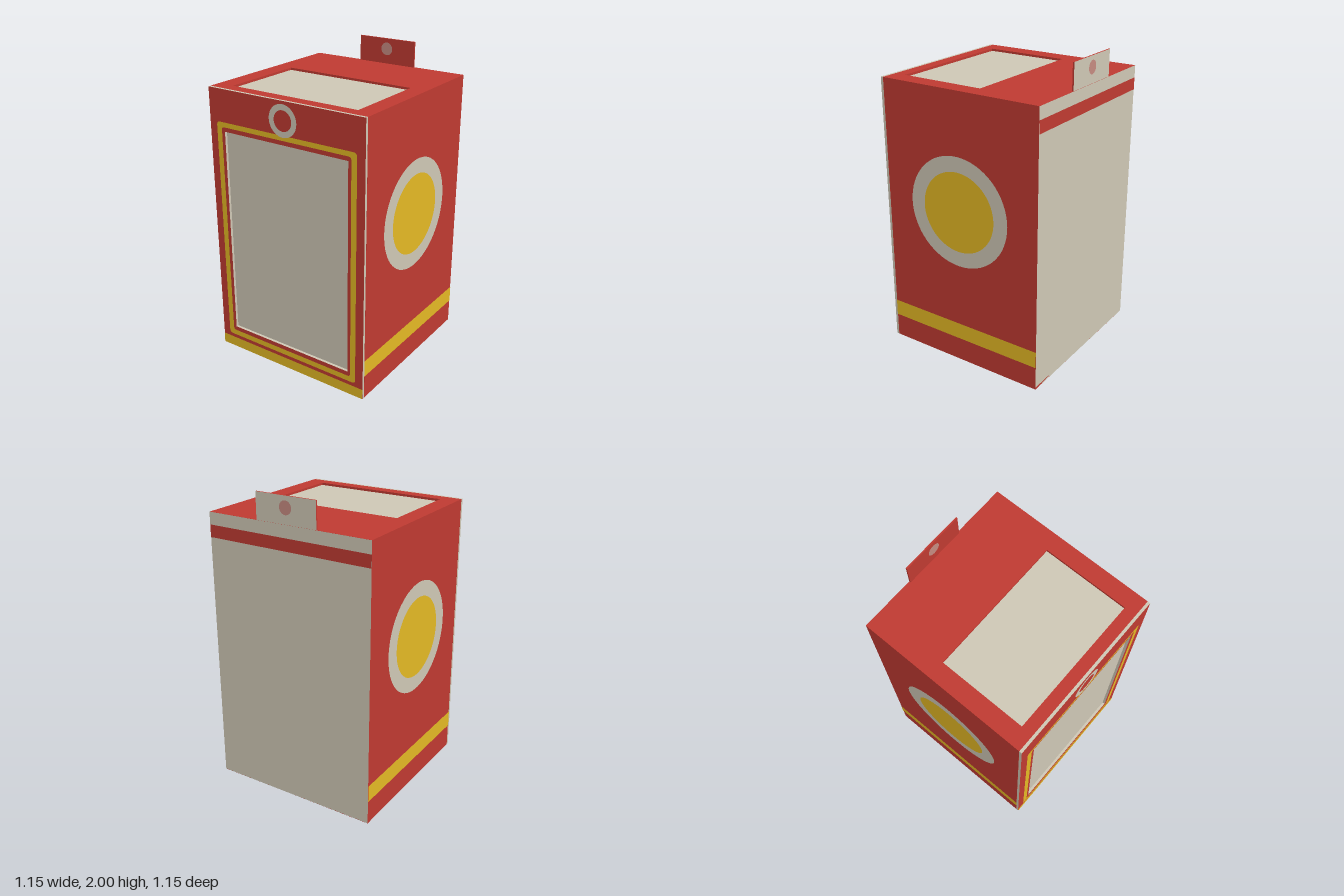
import * as THREE from 'three';

const mat = (name, color) => {
  const m = new THREE.MeshStandardMaterial({ color });
  m.name = name;
  return m;
};

const W = 0.575; // half width and half depth
const H = 1.83;  // box height
const T = 0.015; // card thickness

// Rectangle outline with optional rounded corners
function rect(path, x0, y0, x1, y1, r = 0) {
  path.moveTo(x0 + r, y0);
  path.lineTo(x1 - r, y0);
  if (r) path.quadraticCurveTo(x1, y0, x1, y0 + r);
  path.lineTo(x1, y1 - r);
  if (r) path.quadraticCurveTo(x1, y1, x1 - r, y1);
  path.lineTo(x0 + r, y1);
  if (r) path.quadraticCurveTo(x0, y1, x0, y1 - r);
  path.lineTo(x0, y0 + r);
  if (r) path.quadraticCurveTo(x0, y0, x0 + r, y0);
  return path;
}

export function createModel() {
  const red = mat('red card', 0xbf3a31);
  const cream = mat('cream card', 0xcec7b5);
  const yellow = mat('yellow print', 0xe3b824);
  const pink = mat('dusty pink', 0xc58a80);

  const model = new THREE.Group();
  model.name = 'windowBox';

  const add = (parent, name, geometry, material, x = 0, y = 0, z = 0) => {
    const mesh = new THREE.Mesh(geometry, material);
    mesh.name = name;
    mesh.position.set(x, y, z);
    parent.add(mesh);
    return mesh;
  };
  const box = (name, material, w, h, d, x, y, z) =>
    add(model, name, new THREE.BoxGeometry(w, h, d), material, x, y, z);

  // Card panel with a rectangular window cut out
  const windowPanel = (outer, hole, depth) => {
    const shape = rect(new THREE.Shape(), ...outer);
    shape.holes.push(rect(new THREE.Path(), ...hole));
    return new THREE.ExtrudeGeometry(shape, { depth, bevelEnabled: false });
  };

  // Front panel with cream cut edges, and its recessed pane
  add(model, 'frontPanel', windowPanel([-W, 0, W, H], [-0.46, 0.16, 0.46, 1.56], 0.018),
    [red, cream], 0, 0, W - 0.018);
  box('frontPane', cream, 0.96, 1.44, 0.006, 0, 0.86, W - 0.021);

  // Top panel with its window, laid flat (shape y becomes -z)
  const top = add(model, 'topPanel',
    windowPanel([-W, -(W - 0.018), W, W], [-0.46, -0.48, 0.46, 0.095], T), red, 0, H - T, 0);
  top.rotation.x = -Math.PI / 2;
  box('topPane', cream, 0.96, 0.006, 0.61, 0, H - T - 0.003, 0.1925);

  // Floor and back wall
  box('floor', red, 2 * W, T, 2 * W - 0.018, 0, T / 2, -0.009);
  box('backPanel', [red, red, red, red, red, cream], 2 * W, H - T, 0.01, 0, (H - T) / 2 , -W + 0.005);

  // Printed bands across the back: a cream flap above a red strip
  const back = new THREE.Group();
  back.name = 'backPrint';
  back.position.z = -W - 0.001;
  back.rotation.y = Math.PI;
  model.add(back);
  add(back, 'topFlap', new THREE.PlaneGeometry(2 * W, 0.08), cream, 0, 1.79, 0);
  add(back, 'redStrip', new THREE.PlaneGeometry(2 * W, 0.08), red, 0, 1.71, 0);

  // Hanging tab: red in front, cream behind, with a spot on both faces
  box('hangingTab', [red, red, red, red, red, cream], 0.425, 0.17, 0.01, 0, 1.915, -W + 0.006);
  for (const s of [1, -1]) {
    const spot = add(model, 'tabSpot', new THREE.CircleGeometry(0.043, 32), pink,
      0, 1.93, -W + 0.006 + s * 0.007);
    if (s < 0) spot.rotation.y = Math.PI;
  }

  // Side walls, each with a medallion and a lower band
  for (const s of [1, -1]) {
    box('sideWall', red, T, H - 2 * T, 2 * W - 0.02, s * (W - T / 2), H / 2, -0.009);
    const print = new THREE.Group();
    print.name = s > 0 ? 'leftPrint' : 'rightPrint';
    print.position.x = s * (W + 0.002);
    print.rotation.y = s * Math.PI / 2;
    model.add(print);
    add(print, 'medallionRing', new THREE.RingGeometry(0.265, 0.365, 64), cream, 0, 1.06, 0);
    add(print, 'medallionCentre', new THREE.CircleGeometry(0.265, 64), yellow, 0, 1.06, 0);
    add(print, 'sideBand', new THREE.PlaneGeometry(2 * W - 0.018, 0.112), yellow,
      s * 0.009, 0.216, 0);
  }

  // Front print: border line, base band and ring
  const border = rect(new THREE.Shape(), -0.52, 0.095, 0.52, 1.62, 0.025);
  border.holes.push(rect(new THREE.Path(), -0.482, 0.132, 0.482, 1.588, 0.02));
  const z = W + 0.002;
  add(model, 'frontBorder', new THREE.ShapeGeometry(border), yellow, 0, 0, z);
  add(model, 'frontBaseBand', new THREE.PlaneGeometry(2 * W, 0.07), yellow, 0, 0.035, z);
  add(model, 'frontRing', new THREE.RingGeometry(0.065, 0.102, 48), cream, 0, 1.71, z + 0.001);

  return model;
}
